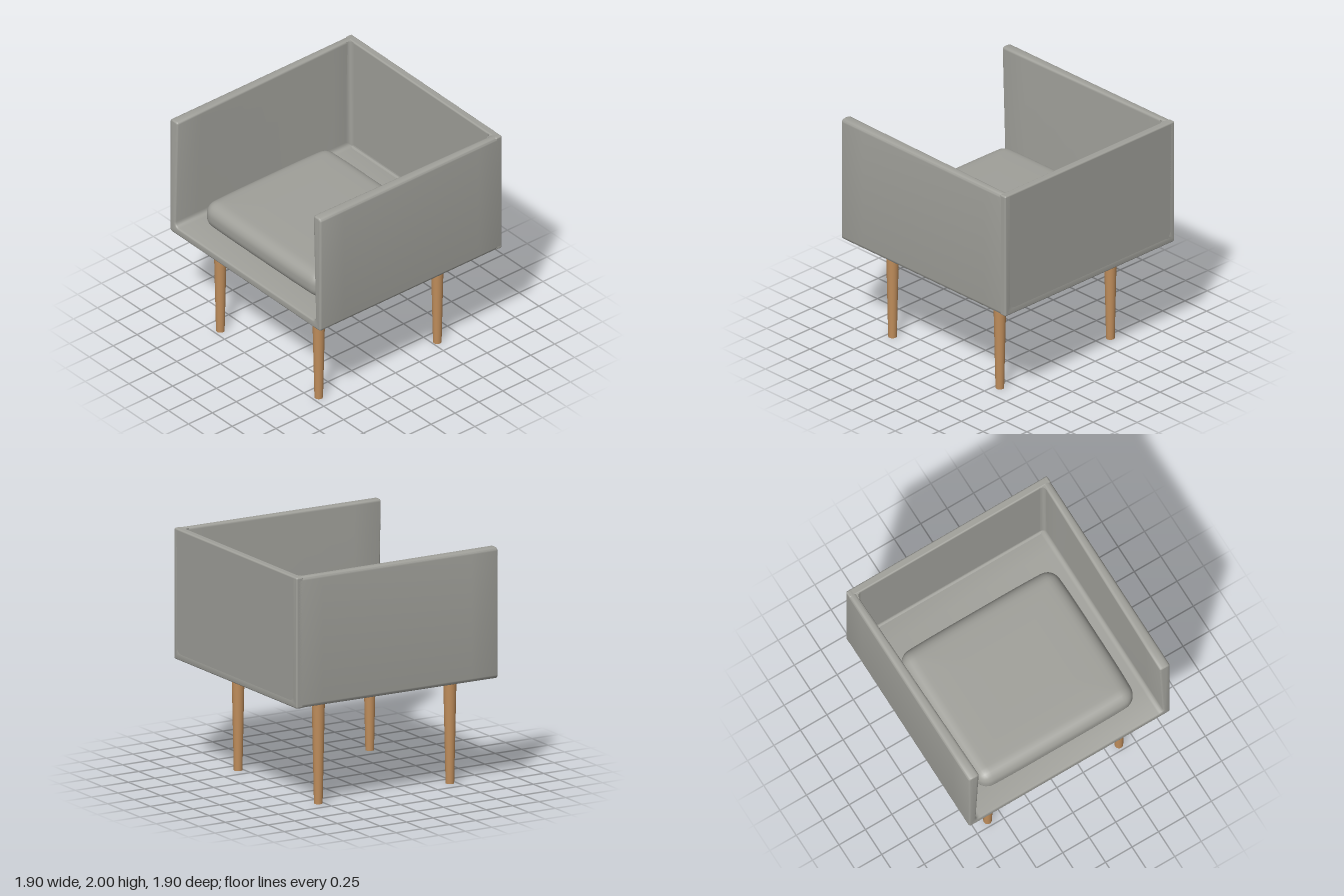
import * as THREE from 'three';
import { RoundedBoxGeometry } from 'three/addons/geometries/RoundedBoxGeometry.js';
import { mergeVertices, toCreasedNormals } from 'three/addons/utils/BufferGeometryUtils.js';

const fabric = new THREE.MeshStandardMaterial({ color: 0xa0a09a });
const wood = new THREE.MeshStandardMaterial({ color: 0xbf8d5b });

const OUT = 0.95, INNER = 0.885, BOTTOM = 0.91, FLOOR = 0.98, TOP = 2;
const { clamp } = THREE.MathUtils;

function add(parent, name, geometry, material) {
  const mesh = new THREE.Mesh(geometry, material);
  mesh.name = name;
  parent.add(mesh);
  return mesh;
}

// Closed outline of [x, y, cornerRadius] points with rounded corners
function roundedOutline(points) {
  const shape = new THREE.Shape();
  const n = points.length;
  points.forEach(([x, y, r], i) => {
    const toward = ([px, py]) => {
      const d = Math.hypot(px - x, py - y);
      return [x + (px - x) / d * r, y + (py - y) / d * r];
    };
    const a = toward(points[(i + n - 1) % n]);
    const b = toward(points[(i + 1) % n]);
    if (i === 0) shape.moveTo(...a); else shape.lineTo(...a);
    shape.quadraticCurveTo(x, y, ...b);
  });
  shape.closePath();
  return shape;
}

// U-shaped floor and arms; the arms thicken toward the top front
function shellGeometry() {
  const bevel = 0.015, e = 0.03, rim = 0.022, f = 0.045;
  const shape = roundedOutline([
    [-OUT, BOTTOM, e], [OUT, BOTTOM, e], [OUT, TOP, e], [INNER, TOP, rim],
    [INNER, FLOOR, f], [-INNER, FLOOR, f], [-INNER, TOP, rim], [-OUT, TOP, e],
  ]);
  const geo = new THREE.ExtrudeGeometry(shape, {
    depth: 2 * (OUT - bevel), steps: 8, curveSegments: 5,
    bevelSize: bevel, bevelThickness: bevel, bevelOffset: -bevel, bevelSegments: 3,
  });
  geo.translate(0, 0, -OUT + bevel);
  const p = geo.attributes.position;
  for (let i = 0; i < p.count; i++) {
    const x = p.getX(i);
    const inward = clamp((OUT - Math.abs(x)) / (OUT - INNER), 0, 1);
    const up = clamp((p.getY(i) - FLOOR) / (TOP - FLOOR), 0, 1);
    const forward = clamp((p.getZ(i) + INNER) / (OUT + INNER), 0, 1);
    p.setX(i, x - Math.sign(x) * 0.032 * inward * up * forward);
  }
  return toCreasedNormals(geo, 0.7);
}

// Concave strip that softens an inside corner
function filletGeometry(length, r) {
  const s = new THREE.Shape();
  s.moveTo(-0.02, -0.02);
  s.lineTo(r, -0.02);
  s.lineTo(r, 0);
  s.quadraticCurveTo(0, 0, 0, r);
  s.lineTo(-0.02, r);
  s.closePath();
  const geo = new THREE.ExtrudeGeometry(s, { depth: length, bevelEnabled: false, curveSegments: 5 });
  return toCreasedNormals(geo, 0.7);
}

// Soft block with rounded edges and gently bulging faces
function cushionGeometry(w, h, d, r) {
  const box = new THREE.BoxGeometry(w, h, d, 50, 12, 46);
  box.deleteAttribute('uv');
  box.deleteAttribute('normal');
  const geo = mergeVertices(box);
  const p = geo.attributes.position;
  const v = new THREE.Vector3(), core = new THREE.Vector3();
  const limit = new THREE.Vector3(w / 2 - r, h / 2 - r, d / 2 - r);
  const low = limit.clone().negate();
  for (let i = 0; i < p.count; i++) {
    v.fromBufferAttribute(p, i);
    core.copy(v).clamp(low, limit);
    v.sub(core).setLength(r).add(core);
    const x = v.x / (w / 2), z = v.z / (d / 2);
    v.x *= 1 - 0.02 * z ** 4;
    v.z *= 1 - 0.015 * x ** 4;
    v.y *= 1 - 0.1 * Math.max(x ** 4, z ** 4);
    p.setXYZ(i, v.x, v.y, v.z);
  }
  geo.computeVertexNormals();
  return geo;
}

export function createModel() {
  const model = new THREE.Group();
  model.name = 'armchair';

  // Shell
  const shell = new THREE.Group();
  shell.name = 'shell';
  model.add(shell);
  add(shell, 'floorAndArms', shellGeometry(), fabric);
  const thick = OUT - INNER;
  add(shell, 'backrest', new RoundedBoxGeometry(2 * OUT, TOP - BOTTOM, thick, 4, 0.014), fabric)
    .position.set(0, (TOP + BOTTOM) / 2, -OUT + thick / 2);

  // Inside corner fillets
  const X = new THREE.Vector3(1, 0, 0), Y = new THREE.Vector3(0, 1, 0), Z = new THREE.Vector3(0, 0, 1);
  const minusX = X.clone().negate();
  const fillet = (name, length, r, u, v, w, x) => {
    const geo = filletGeometry(length, r).applyMatrix4(new THREE.Matrix4().makeBasis(u, v, w));
    add(shell, name, geo, fabric).position.set(x, FLOOR, -INNER);
  };
  fillet('leftCornerFillet', TOP - FLOOR - 0.004, 0.04, minusX, Z, Y, INNER);
  fillet('rightCornerFillet', TOP - FLOOR - 0.004, 0.04, Z, X, Y, -INNER);
  fillet('floorFillet', 2 * INNER, 0.02, Z, Y, minusX, INNER);

  // Seat cushion
  add(model, 'seatCushion', cushionGeometry(1.49, 0.25, 1.33, 0.105), fabric)
    .position.set(0, 1.123, 0.14);

  // Tapered legs
  const legGeo = new THREE.CylinderGeometry(0.055, 0.035, 0.93, 24);
  for (const [end, z] of [['front', 0.695], ['back', -0.545]]) {
    for (const [side, x] of [['Left', 0.62], ['Right', -0.62]]) {
      add(model, `${end}${side}Leg`, legGeo, wood).position.set(x, 0.465, z);
    }
  }
  return model;
}
